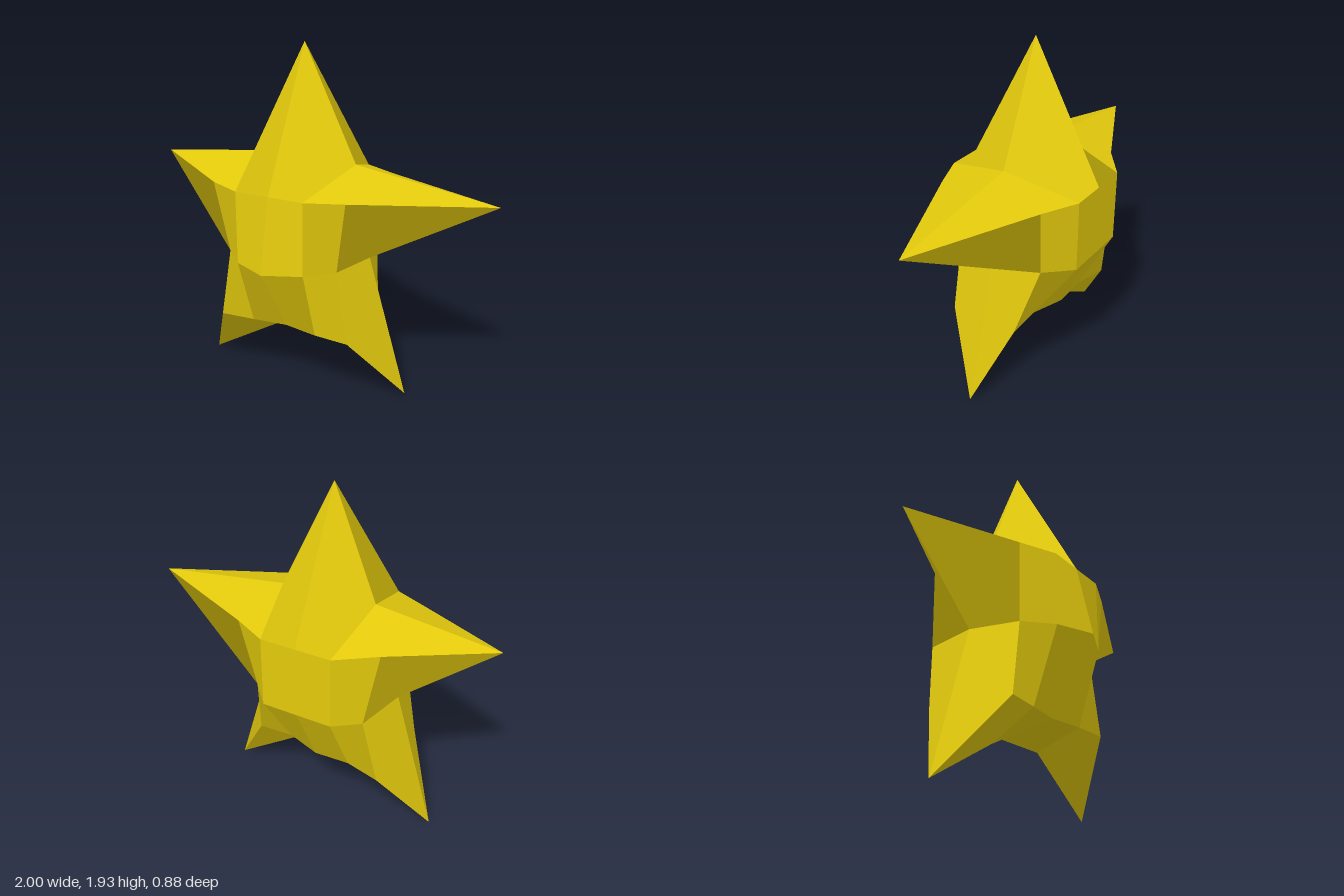
import * as THREE from 'three';

export function createModel() {
  const group = new THREE.Group();
  group.name = 'star';
  const yellow = new THREE.MeshStandardMaterial({ color: 0xe2c90c });
  yellow.name = 'starYellow';
  const MID = -0.043;
  const mid = (x, y) => [x, y, MID];

  // Points on the rim, shared by the front and back shells
  const peak = mid(-0.086, 1.93), crotch = mid(-0.086, 0.4);
  const R = { notch: mid(-0.328, 1.32), hand: mid(-1, 1.24), side: mid(-0.48, 0.8), foot: mid(-0.715, 0), inner: mid(-0.28, 0.26) };
  const L = { notch: [0.213, 1.307, -0.053], hand: mid(1, 1.197), side: mid(0.311, 0.8), foot: mid(0.544, 0.02), inner: mid(0.113, 0.31) };

  // Five points across the body at chest, waist and hip height
  const outerX = [-0.48, -0.283, -0.086, 0.113, 0.311];
  const waistX = [-0.417, -0.283, -0.086, 0.113, 0.241];
  const row = (xs, y, zs) => xs.map((x, i) => [x, y, zs[i]]);
  const shells = [
    {
      back: 0,
      t: row(outerX, 1.197, [0.26, 0.35, 0.35, 0.35, 0.27]),
      w: row(waistX, 0.798, [0.22, 0.35, 0.437, 0.35, 0.22]),
      h: row(outerX, 0.4, [0.23, 0.21, 0.185, 0.22, 0.23]),
    },
    {
      back: 1,
      t: row(outerX, 1.197, [-0.295, -0.44, -0.44, -0.44, -0.34]),
      w: row(waistX, 0.798, [-0.34, -0.44, -0.44, -0.44, -0.3]),
      h: row(outerX, 0.4, [-0.28, -0.23, -0.24, -0.17, -0.18]),
    },
  ];

  const parts = { torso: [], head: [], leftArm: [], rightArm: [], leftLeg: [], rightLeg: [] };
  for (const { back, t, w, h } of shells) {
    // Corners run anticlockwise on the front and are reversed on the back;
    // folds gives the corner (0 or 1) where each shell's diagonal fold starts
    const add = (part, folds, ...quad) => {
      const turned = folds[back] ? [...quad.slice(1), quad[0]] : quad;
      parts[part].push(back ? turned.reverse() : turned);
    };
    for (let i = 0; i < 4; i++) {
      add('torso', [0, 0], w[i], w[i + 1], t[i + 1], t[i]);
      add('torso', [0, 0], h[i], h[i + 1], w[i + 1], w[i]);
    }
    add('head', [0, 0], peak, R.notch, t[1], t[2]);
    add('head', [1, 1], peak, t[2], t[3], L.notch);
    add('leftArm', [0, 0], t[3], t[4], L.hand, L.notch);
    add('leftArm', [1, 1], w[4], L.side, L.hand, t[4]);
    add('rightArm', [1, 0], t[1], R.notch, R.hand, t[0]);
    add('rightArm', [0, 0], w[0], t[0], R.hand, R.side);
    add('leftLeg', [1, 1], h[4], L.foot, L.side, w[4]);
    add('leftLeg', [1, 0], h[3], L.inner, L.foot, h[4]);
    add('leftLeg', [1, 1], h[2], crotch, L.inner, h[3]);
    add('rightLeg', [0, 0], h[0], w[0], R.side, R.foot);
    add('rightLeg', [0, 0], h[1], h[0], R.foot, R.inner);
    add('rightLeg', [0, 0], h[2], h[1], R.inner, crotch);
  }

  for (const [name, quads] of Object.entries(parts)) {
    const mesh = new THREE.Mesh(facets(quads), yellow);
    mesh.name = name;
    group.add(mesh);
  }
  return group;
}

// Folds each four-sided facet into two triangles that share one facet normal
function facets(quads) {
  const positions = [], normals = [];
  for (const quad of quads) {
    const v = quad.map((p) => new THREE.Vector3(...p));
    const n = v[2].clone().sub(v[0]).cross(v[3].clone().sub(v[1])).normalize();
    for (const i of [0, 1, 2, 0, 2, 3]) {
      positions.push(...quad[i]);
      normals.push(n.x, n.y, n.z);
    }
  }
  const geometry = new THREE.BufferGeometry();
  geometry.setAttribute('position', new THREE.Float32BufferAttribute(positions, 3));
  geometry.setAttribute('normal', new THREE.Float32BufferAttribute(normals, 3));
  return geometry;
}
